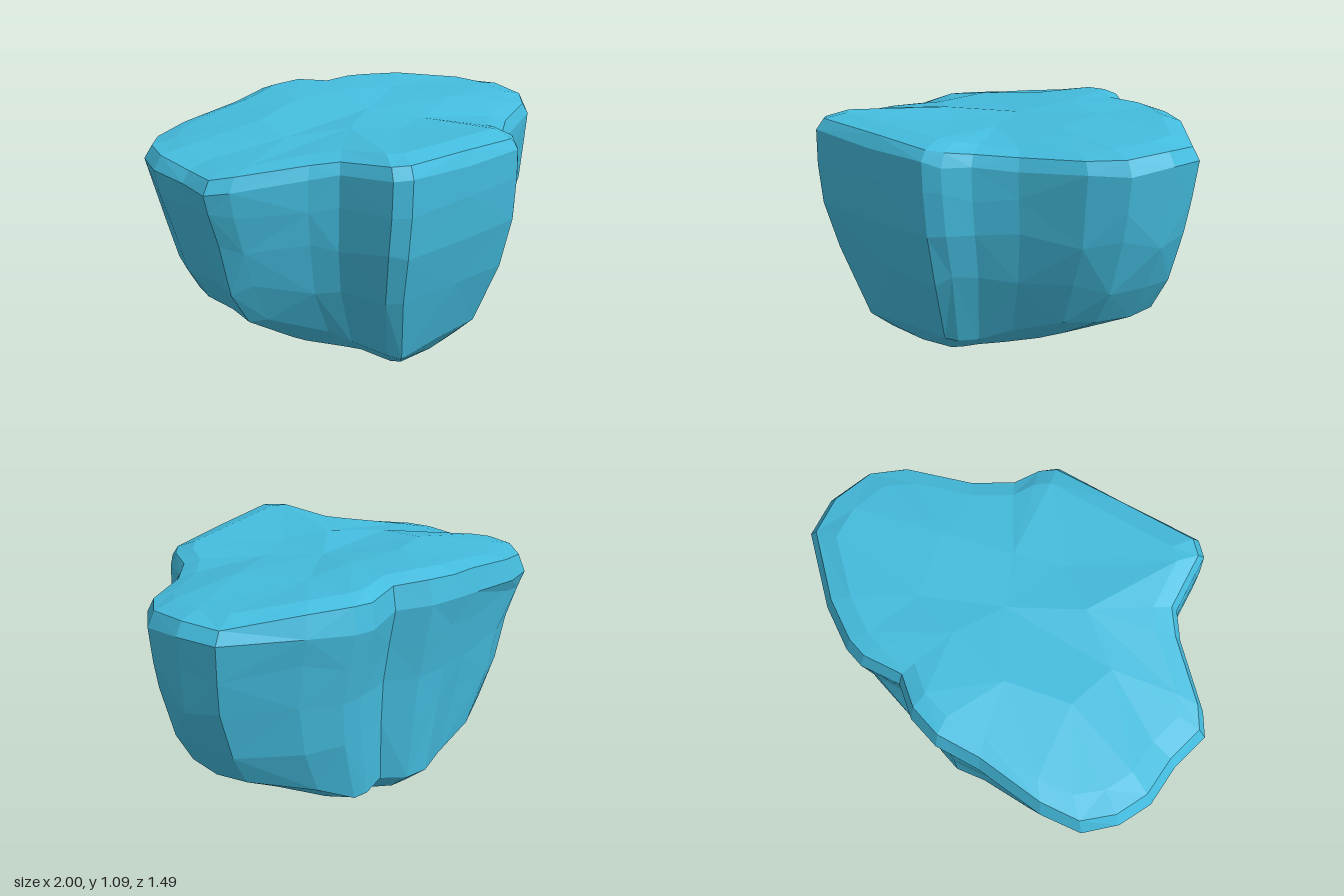
import * as THREE from 'three';

// Rim outline, clockwise from above: x, z, height of the top edge
const RIM = [
  [-0.68, -0.65, 0.975], [-0.36, -0.69, 1.02], [-0.16, -0.745, 1.055], [0, -0.73, 1.065],
  [0.15, -0.65, 1.045], [0.34, -0.70, 1.04], [0.44, -0.69, 1.04], [0.64, -0.61, 1.035],
  [0.95, -0.41, 1.005], [1.0, -0.23, 1.005], [0.98, -0.02, 0.99], [0.87, 0.12, 0.98],
  [0.60, 0.28, 0.965], [0.45, 0.42, 0.97], [0.40, 0.54, 0.985], [0.34, 0.60, 0.995],
  [0, 0.67, 1.01], [-0.38, 0.745, 1.025], [-0.45, 0.70, 1.025], [-0.52, 0.43, 1.0],
  [-0.62, 0.34, 0.98], [-0.90, 0.17, 0.935], [-0.98, 0.09, 0.92], [-0.97, -0.10, 0.92],
  [-1.0, -0.30, 0.945], [-0.96, -0.46, 0.95], [-0.86, -0.59, 0.95],
];
const N = RIM.length;
const CZ = -0.1;

// Small seeded wobble that keeps the facets irregular
let seed = 7;
const wobble = (a) => {
  seed = (seed * 16807) % 2147483647;
  return (seed / 2147483647 - 0.5) * 2 * a;
};
const mix = THREE.MathUtils.lerp;
const sideness = (x) => THREE.MathUtils.smoothstep(Math.abs(x), 0.4, 0.9);
const frontness = (z) => THREE.MathUtils.smoothstep(z, -0.3, 0.4);
// Depth taper differs between the front lobe and the back
const taper = (z, front, back) => z * mix(back, front, frontness(z));
// The underside is a shallow keel, steeper on the right-hand edge of the front
const keel = (x) => (x < 0 ? 0.28 : 0.4) * x * x;
const inset = (z, s) => CZ + (z - CZ) * s;

// Wall rings from the underside up to the top, each mapping a rim point
const RINGS = [
  ([x, z]) => {
    const bx = x * mix(0.56, 0.54, sideness(x));
    return [bx, keel(bx), taper(z, 0.62, 0.72)];
  },
  ([x, z]) => {
    const s = sideness(x);
    return [x * mix(0.72, 0.78, s), mix(0.085, 0.23, s) + wobble(0.012), taper(z, 0.73, 0.845)];
  },
  ([x, z]) => {
    const s = sideness(x);
    return [x * mix(0.94, 0.875, s), 0.4 + wobble(0.03), taper(z, 0.88, 0.885)];
  },
  ([x, z]) => [x * mix(1.01, x < 0 ? 0.93 : 0.955, sideness(x)), 0.61 + wobble(0.04), taper(z, 0.965, 0.91)],
  ([x, z]) => [x * mix(1.01, 0.98, sideness(x)), 0.79 + wobble(0.03), taper(z, 0.995, 0.955)],
  ([x, z, h]) => {
    const back = 1 - THREE.MathUtils.smoothstep(z, -0.7, -0.4);
    return [x, h - mix(0.055, 0.11, back) + wobble(0.008), z];
  },
  ([x, z, h]) => [x * 0.965, h + wobble(0.005), inset(z, 0.96)],
  ([x, z, h]) => [x * 0.86, h + 0.028 + wobble(0.005), inset(z, 0.84)],
];

// Inner ring of each cap uses one point for every three rim points
const CAP_TOP = ([x, z, h]) => {
  const mz = inset(z, 0.48);
  return [x * 0.48 + wobble(0.04), mix(h + 0.03, 1.045 - 0.06 * mz, 0.75) + wobble(0.01), mz + wobble(0.04)];
};
const CAP_BOTTOM = ([x, z]) => [x * 0.28, 0.035 + wobble(0.008), taper(z, 0.36, 0.4)];

function rockGeometry() {
  const pos = [];
  const idx = [];
  for (const ring of RINGS) for (const p of RIM) pos.push(...ring(p));

  // Walls, with alternating diagonals
  for (let r = 0; r < RINGS.length - 1; r++) {
    for (let i = 0; i < N; i++) {
      const j = (i + 1) % N;
      const a = r * N + i, b = r * N + j, c = a + N, d = b + N;
      if ((i + r) % 2) idx.push(a, c, b, b, c, d);
      else idx.push(a, d, b, a, c, d);
    }
  }

  // Caps: broad facets from the edge ring to the inner ring to a centre point
  const addCap = (edge, place, centreY, up) => {
    const inner = pos.length / 3;
    const K = N / 3;
    for (let k = 0; k < K; k++) pos.push(...place(RIM[3 * k + 1]));
    const centre = inner + K;
    pos.push(0.03, centreY, CZ);
    const face = (a, b, c) => (up ? idx.push(a, c, b) : idx.push(a, b, c));
    for (let i = 0; i < N; i++) face(edge + i, edge + (i + 1) % N, inner + Math.floor(i / 3));
    for (let k = 0; k < K; k++) {
      const next = (k + 1) % K;
      face(edge + 3 * next, inner + next, inner + k);
      face(inner + k, inner + next, centre);
    }
  };
  addCap(0, CAP_BOTTOM, 0.045, false);
  addCap((RINGS.length - 1) * N, CAP_TOP, 1.04, true);

  // Split the corners for flat facets
  const indexed = new THREE.BufferGeometry();
  indexed.setAttribute('position', new THREE.Float32BufferAttribute(pos, 3));
  indexed.setIndex(idx);
  const flat = indexed.toNonIndexed();
  flat.computeVertexNormals();
  return flat;
}

export function createModel() {
  seed = 7;
  const group = new THREE.Group();
  group.name = 'rock';
  const stone = new THREE.MeshStandardMaterial({ color: 0x44bcde });
  stone.name = 'blue stone';
  const body = new THREE.Mesh(rockGeometry(), stone);
  body.name = 'rockBody';
  group.add(body);
  return group;
}
